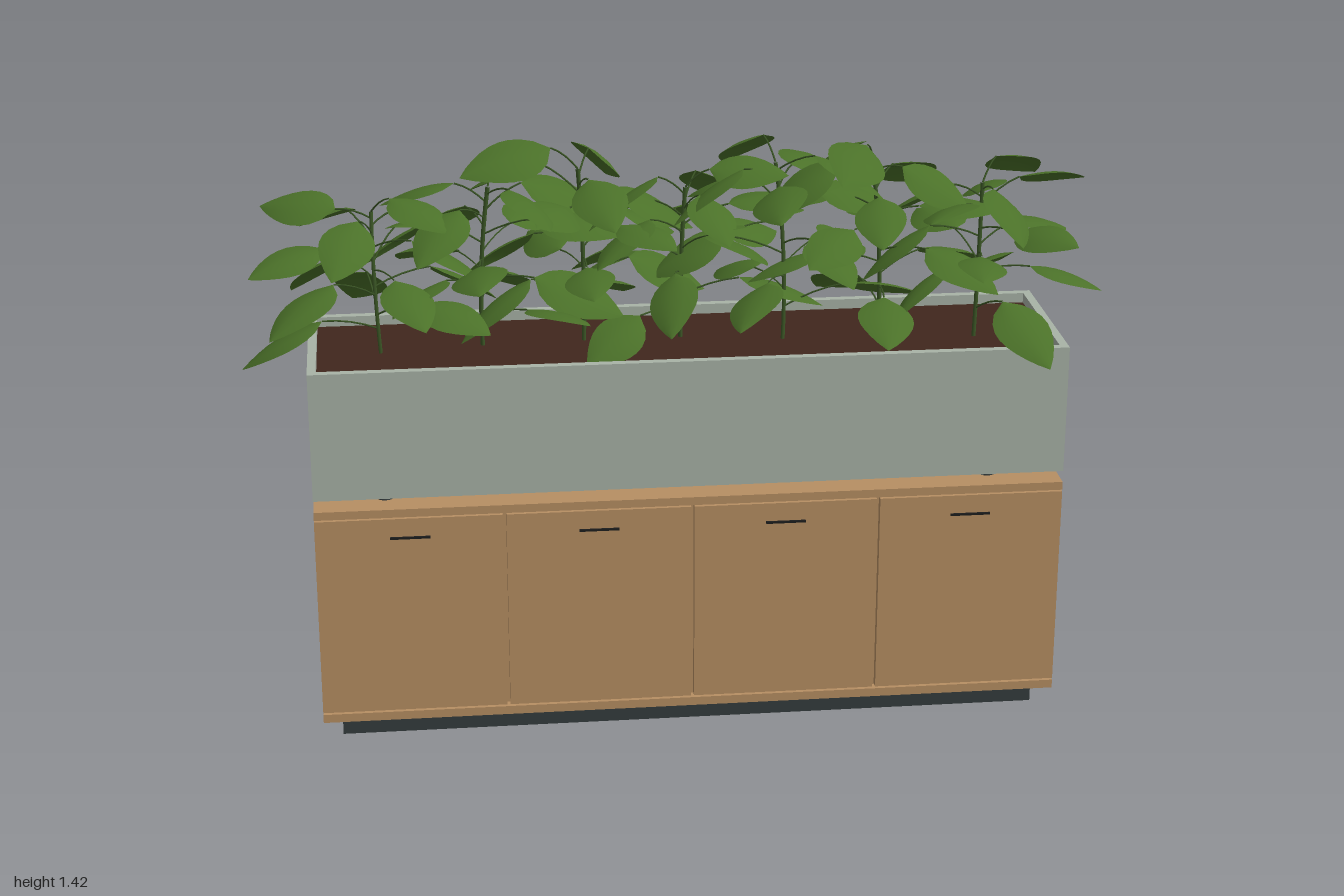
import * as THREE from 'three';
import { mergeGeometries } from 'three/addons/utils/BufferGeometryUtils.js';

const mat = (name, color, side = THREE.FrontSide) => {
  const m = new THREE.MeshStandardMaterial({ color, side });
  m.name = name;
  return m;
};

// Small seeded generator, returns -1..1
let seed = 7;
const vary = () => {
  seed = (seed * 16807) % 2147483647;
  return (seed / 2147483647) * 2 - 1;
};

// One ovate leaf of unit length along +z, domed and curling down to a point
function leafGeometry() {
  const g = new THREE.PlaneGeometry(2, 1, 4, 9).rotateX(-Math.PI / 2).translate(0, 0, 0.5);
  const p = g.attributes.position;
  for (let i = 0; i < p.count; i++) {
    const u = p.getX(i), t = p.getZ(i);
    const w = 0.32 * Math.pow(Math.max(0, Math.sin(Math.PI * Math.pow(t, 0.78))), 0.85);
    p.setXYZ(i, u * w, 0.12 * t - 0.27 * t * t - 0.22 * w * u * u, t);
  }
  g.computeVertexNormals();
  return g;
}

export function createModel() {
  seed = 7;
  const model = new THREE.Group();
  const wood = mat('wood', 0xb78f63);
  const metal = mat('planter grey green', 0xa9b3a7);
  const dark = mat('dark plinth', 0x343c3d);
  const black = mat('handle black', 0x1c1d1d);
  const soilMat = mat('soil', 0x40271d);
  const leafMat = mat('leaf green', 0x4b7129, THREE.DoubleSide);
  const stemMat = mat('stem green', 0x3c5826);

  const add = (name, geometry, material, x = 0, y = 0, z = 0, parent = model) => {
    const m = new THREE.Mesh(geometry, material);
    m.name = name;
    m.position.set(x, y, z);
    parent.add(m);
    return m;
  };
  const box = (name, material, x0, x1, y0, y1, z0, z1, parent) =>
    add(name, new THREE.BoxGeometry(x1 - x0, y1 - y0, z1 - z0), material,
      (x0 + x1) / 2, (y0 + y1) / 2, (z0 + z1) / 2, parent);

  // Shared footprint of cabinet and planter
  const L = -0.83, R = 0.937, B = -0.22, F = 0.202, cx = (L + R) / 2, cz = (B + F) / 2;

  // Cabinet: an inner carcass with thin shadow gaps around the outer panels
  const cabinet = new THREE.Group();
  cabinet.name = 'cabinet';
  model.add(cabinet);
  box('plinth', dark, -0.785, 0.892, 0, 0.05, -0.185, 0.166, cabinet);
  box('bottomPanel', wood, L, R, 0.05, 0.071, B, F, cabinet);
  box('topPanel', wood, L, R, 0.573, 0.593, B, F, cabinet);
  box('carcass', wood, L + 0.006, R - 0.006, 0.071, 0.573, B + 0.006, 0.178, cabinet);
  box('leftSide', wood, R - 0.018, R, 0.076, 0.569, B, 0.182, cabinet);
  box('rightSide', wood, L, L + 0.018, 0.076, 0.569, B, 0.182, cabinet);
  const pitch = (R - L) / 4;
  for (let i = 0; i < 4; i++) {
    const x0 = L + i * pitch, mid = x0 + pitch / 2;
    box('door', wood, x0 + (i ? 0.004 : 0), x0 + pitch - (i < 3 ? 0.004 : 0), 0.076, 0.569, 0.182, F, cabinet);
    box('handle', black, mid - 0.047, mid + 0.047, 0.519, 0.524, F, F + 0.005, cabinet);
  }

  // Feet between cabinet and planter
  for (const x of [-0.663, 0.769]) for (const z of [0.123, -0.142])
    add('foot', new THREE.CylinderGeometry(0.016, 0.021, 0.032, 16), dark, x, 0.608, z);

  // Planter trough with open top
  const rect = (Ctor, x0, x1, y0, y1) => {
    const s = new Ctor();
    s.moveTo(x0, y0).lineTo(x1, y0).lineTo(x1, y1).lineTo(x0, y1).closePath();
    return s;
  };
  const hw = (R - L) / 2, hd = (F - B) / 2, wall = 0.02;
  const ring = rect(THREE.Shape, -hw, hw, -hd, hd);
  ring.holes.push(rect(THREE.Path, -hw + wall, hw - wall, -hd + wall, hd - wall));
  const trough = new THREE.ExtrudeGeometry(ring, { depth: 0.311, bevelEnabled: false }).rotateX(-Math.PI / 2);
  add('planterWalls', trough, metal, cx, 0.621, cz);
  box('planterBase', metal, L + wall, R - wall, 0.621, 0.641, B + wall, F - wall);
  box('soil', soilMat, L + wall, R - wall, 0.641, 0.908, B + wall, F - wall);

  // Plants: x, z, top height, leaf spread, turn of first leaf
  const plants = [
    [-0.66, 0.0, 1.25, 0.99, 4.7],
    [-0.42, -0.03, 1.3, 1.0, 0.6],
    [-0.18, -0.04, 1.33, 0.98, 2.9],
    [0.05, -0.04, 1.28, 0.98, 5.2],
    [0.29, 0.0, 1.34, 0.96, 1.2],
    [0.515, 0.02, 1.36, 0.98, 3.6],
    [0.745, 0.03, 1.29, 0.92, 0.35],
  ];
  const blade = leafGeometry();
  const pose = new THREE.Object3D();
  for (const [px, pz, top, spread, turn] of plants) {
    const leaves = [], stems = [];
    const stem = new THREE.QuadraticBezierCurve3(
      new THREE.Vector3(px, 0.9, pz),
      new THREE.Vector3(px + 0.012 * vary(), (0.9 + top) / 2, pz + 0.012 * vary()),
      new THREE.Vector3(px + 0.025 * vary(), top, pz + 0.02 * vary()));
    stems.push(new THREE.TubeGeometry(stem, 8, 0.005, 6));
    const n = 15;
    for (let i = 0; i < n; i++) {
      // Leaves spiral up the stem, crowding towards the top
      const f = i / (n - 1), a = turn + i * 2.4 + 0.25 * vary();
      const start = stem.getPoint(0.2 + 0.8 * Math.pow(f, 0.8));
      const reach = spread * (0.13 - 0.06 * f * f + 0.02 * vary());
      const dir = new THREE.Vector3(Math.sin(a), 0, Math.cos(a));
      const end = start.clone().addScaledVector(dir, reach);
      end.y += 0.035 + 0.025 * vary();
      const bend = start.clone().lerp(end, 0.5);
      bend.y += 0.015;
      stems.push(new THREE.TubeGeometry(new THREE.QuadraticBezierCurve3(start, bend, end), 4, 0.0022, 4));
      const size = spread * (0.205 + 0.025 * vary());
      pose.position.copy(end);
      pose.rotation.set(0.18 + 0.35 * vary(), a, 0.5 * vary(), 'YXZ');
      pose.scale.setScalar(size);
      pose.updateMatrix();
      leaves.push(blade.clone().applyMatrix4(pose.matrix));
    }
    const plant = new THREE.Group();
    plant.name = 'plant';
    model.add(plant);
    add('stems', mergeGeometries(stems), stemMat, 0, 0, 0, plant);
    add('leaves', mergeGeometries(leaves), leafMat, 0, 0, 0, plant);
  }
  return model;
}
